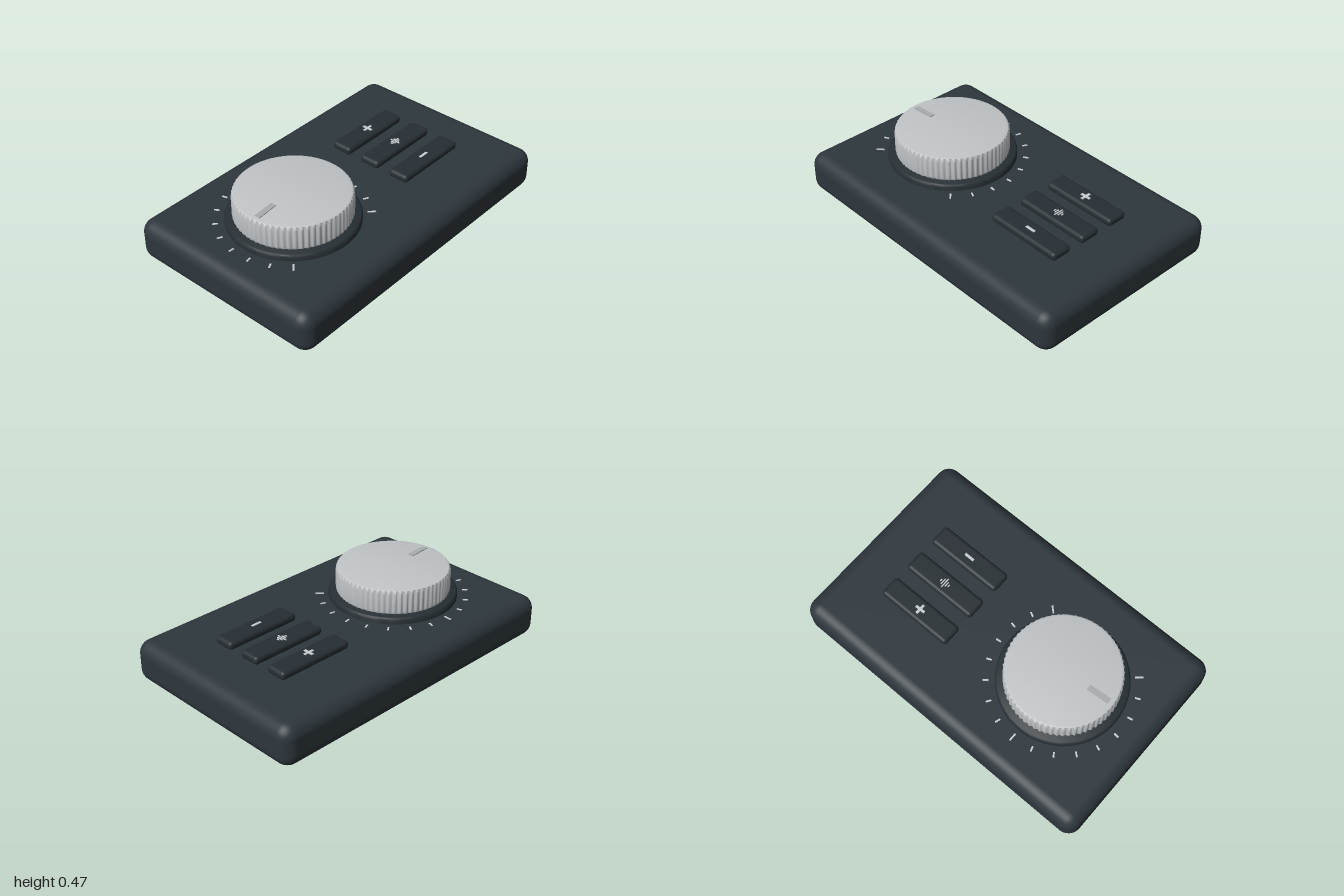
import * as THREE from 'three';
import { toCreasedNormals } from 'three/addons/utils/BufferGeometryUtils.js';
import { RoundedBoxGeometry } from 'three/addons/geometries/RoundedBoxGeometry.js';

const KNOB_X = -0.415;

export function createModel() {
  const group = new THREE.Group();
  const mat = (name, color) => {
    const m = new THREE.MeshStandardMaterial({ color });
    m.name = name;
    return m;
  };
  const shell = mat('charcoal', 0x2e373d);
  const dark = mat('dark charcoal', 0x272f34);
  const under = mat('underside black', 0x1a1f22);
  const silver = mat('silver', 0xc1c5c8);
  const grey = mat('pointer grey', 0xa9adb0);
  const print = mat('marking grey', 0xc9ced2);

  const add = (name, geometry, material, x, y, z, parent = group) => {
    const mesh = new THREE.Mesh(geometry, material);
    mesh.name = name;
    mesh.position.set(x, y, z);
    parent.add(mesh);
    return mesh;
  };
  const lathe = (points, segments) =>
    new THREE.LatheGeometry(points.map(([r, y]) => new THREE.Vector2(r, y)), segments);

  // Case and recessed base
  add('body', new RoundedBoxGeometry(2, 0.255, 1.25, 6, 0.08), shell, 0, 0.1575, 0);
  add('base', new RoundedBoxGeometry(1.82, 0.08, 1.09, 3, 0.02), under, 0, 0.04, 0);

  // Collar under the dial
  const collar = lathe([[0.378, 0.27], [0.378, 0.312], [0.374, 0.32], [0.366, 0.324], [0, 0.324]], 96);
  add('dialCollar', toCreasedNormals(collar, 0.7), dark, KNOB_X, 0, 0);

  // Fluted dial: the side wall of a lathe is rippled around its axis
  const flutes = 64;
  const knob = lathe([
    [0.325, 0.318], [0.334, 0.328], [0.336, 0.34], [0.336, 0.445],
    [0.333, 0.46], [0.326, 0.467], [0.316, 0.469], [0, 0.469],
  ], flutes * 6);
  const p = knob.attributes.position;
  for (let i = 0; i < p.count; i++) {
    const x = p.getX(i), z = p.getZ(i), r = Math.hypot(x, z);
    if (r < 0.33) continue;
    const k = 1 - (0.009 * (0.5 - 0.5 * Math.cos(Math.atan2(z, x) * flutes))) / r;
    p.setX(i, x * k);
    p.setZ(i, z * k);
  }
  add('dial', toCreasedNormals(knob, 0.9), silver, KNOB_X, 0, 0);

  // Pointer on top of the dial
  const pointer = add('dialPointer', new THREE.BoxGeometry(0.135, 0.008, 0.034), grey, -0.645, 0.4695, 0.018);
  pointer.rotation.y = 0.08;

  // Scale marks around the dial
  const scale = new THREE.Group();
  scale.name = 'scaleMarks';
  group.add(scale);
  const sweep = THREE.MathUtils.degToRad(133);
  for (let i = -8; i <= 8; i++) {
    const a = (i / 8) * sweep;
    const length = i % 8 === 0 ? 0.048 : 0.032;
    const tick = add('scaleMark', new THREE.BoxGeometry(0.01, 0.005, length), print,
      KNOB_X + Math.sin(a) * 0.43, 0.2865, -Math.cos(a) * 0.43, scale);
    tick.rotation.y = -a;
  }

  // Three buttons, each with a symbol made of [x, width, depth] bars
  const symbols = [
    ['plusButton', -0.212, [[0, 0.064, 0.016], [0, 0.016, 0.064]]],
    ['soundButton', 0, [-2, -1, 0, 1, 2].map((i) => [i * 0.014, 0.007, [0.016, 0.032, 0.064, 0.04, 0.016][i + 2]])],
    ['minusButton', 0.212, [[0, 0.064, 0.016]]],
  ];
  for (const [name, z, bars] of symbols) {
    const button = new THREE.Group();
    button.name = name;
    button.position.set(0.46, 0, z);
    group.add(button);
    add('buttonCap', new RoundedBoxGeometry(0.484, 0.05, 0.13, 4, 0.022), dark, 0, 0.31, 0, button);
    bars.forEach(([x, w, d], i) =>
      add('symbolBar', new THREE.BoxGeometry(w, 0.006 + i * 0.0004, d), print, x, 0.336, 0, button));
  }

  return group;
}
